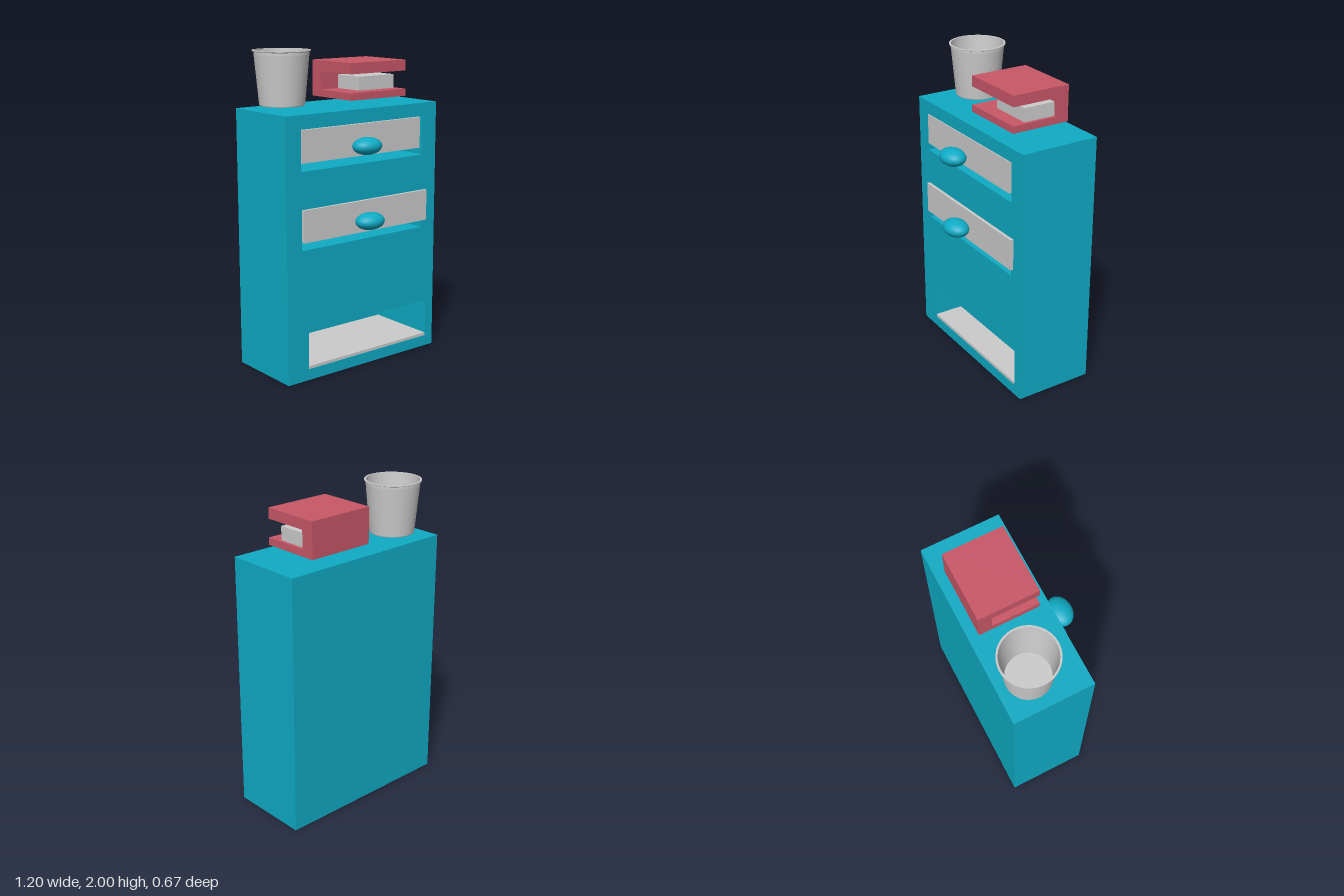
import * as THREE from 'three';

export function createModel() {
  const root = new THREE.Group();
  const grey = new THREE.MeshStandardMaterial({ color: 0xcccccc });
  const greyThin = new THREE.MeshStandardMaterial({ color: 0xcccccc, side: THREE.DoubleSide });
  const teal = new THREE.MeshStandardMaterial({ color: 0x0fabc5 });
  const red = new THREE.MeshStandardMaterial({ color: 0xc85767 });

  const add = (name, geometry, material, parent = root) => {
    const mesh = new THREE.Mesh(geometry, material);
    mesh.name = name;
    parent.add(mesh);
    return mesh;
  };
  // Box given by its lower and upper corners
  const box = (name, [x0, y0, z0], [x1, y1, z1], material, parent) => {
    const mesh = add(name, new THREE.BoxGeometry(x1 - x0, y1 - y0, z1 - z0), material, parent);
    mesh.position.set((x0 + x1) / 2, (y0 + y1) / 2, (z0 + z1) / 2);
    return mesh;
  };
  const rectangle = (PathType, x0, y0, x1, y1) => new PathType([
    new THREE.Vector2(x0, y0), new THREE.Vector2(x1, y0),
    new THREE.Vector2(x1, y1), new THREE.Vector2(x0, y1), new THREE.Vector2(x0, y0),
  ]);

  // Cabinet: carcass with three drawer openings and a closed back
  const cabinet = new THREE.Group();
  cabinet.name = 'cabinet';
  root.add(cabinet);
  const front = 0.18, back = -0.335, inner = -0.3;
  const face = rectangle(THREE.Shape, -0.6, 0, 0.595, 1.645);
  for (const [x0, y0, x1, y1] of [
    [-0.49, 1.31, 0.48, 1.56],
    [-0.49, 0.83, 0.48, 1.08],
    [-0.445, 0.07, 0.53, 0.32],
  ]) face.holes.push(rectangle(THREE.Path, x0, y0, x1, y1));
  const carcass = new THREE.ExtrudeGeometry(face, { depth: front - inner, bevelEnabled: false });
  add('carcass', carcass.translate(0, 0, inner), teal, cabinet);
  box('backPanel', [-0.6, 0, back], [0.595, 1.645, inner], teal, cabinet);

  // Loose drawer fronts and the board lying in the lowest opening
  box('upperDrawerFront', [-0.488, 1.358, 0.16], [0.455, 1.556, 0.181], grey);
  box('middleDrawerFront', [-0.488, 0.88, 0.18], [0.505, 1.08, 0.2], grey);
  box('fallenBoard', [-0.444, 0.071, inner], [0.529, 0.09, 0.179], grey);

  // Oval drawer knobs
  for (const [name, x, y] of [['upperKnob', -0.05, 1.43], ['middleKnob', -0.025, 0.96]]) {
    const knob = add(name, new THREE.SphereGeometry(1, 32, 20), teal);
    knob.scale.set(0.1, 0.054, 0.077);
    knob.position.set(x, y, 0.258);
  }

  // Tapered bin with a thin flared rim
  const profile = [
    [0, 1.667], [0.138, 1.667], [0.14, 1.672], [0.168, 1.975], [0.168, 1.99],
    [0.178, 1.994], [0.178, 2], [0.166, 2], [0.164, 1.975], [0.135, 1.682], [0, 1.682],
  ].map(([r, y]) => new THREE.Vector2(r, y));
  // Doubled corner points keep the edges crisp
  const crisp = profile.flatMap((p, i) => (i === 0 || i === 10 ? [p] : [p, p.clone()]));
  const segments = new THREE.Group();
  segments.name = 'bin';
  segments.position.set(-0.395, 0, -0.137);
  root.add(segments);
  for (let i = 0; i < crisp.length; i += 2) {
    add('binSurface', new THREE.LatheGeometry([crisp[i], crisp[i + 1]], 48), greyThin, segments);
  }

  // C-shaped holder with a grey block inside
  const holder = new THREE.Group();
  holder.name = 'holder';
  root.add(holder);
  const profileC = new THREE.Shape([
    [0.275, 1.69], [-0.112, 1.69], [-0.112, 1.735], [0.19, 1.735],
    [0.19, 1.85], [-0.11, 1.85], [-0.11, 1.918], [0.275, 1.918],
  ].map(([z, y]) => new THREE.Vector2(z, y)));
  const c = new THREE.ExtrudeGeometry(profileC, { depth: 0.447, bevelEnabled: false });
  add('holderFrame', c.rotateY(Math.PI / 2).translate(-0.057, 0, 0), red, holder);
  box('holderBlock', [0.08, 1.735, -0.19], [0.37, 1.822, 0.02], grey, holder);

  return root;
}
